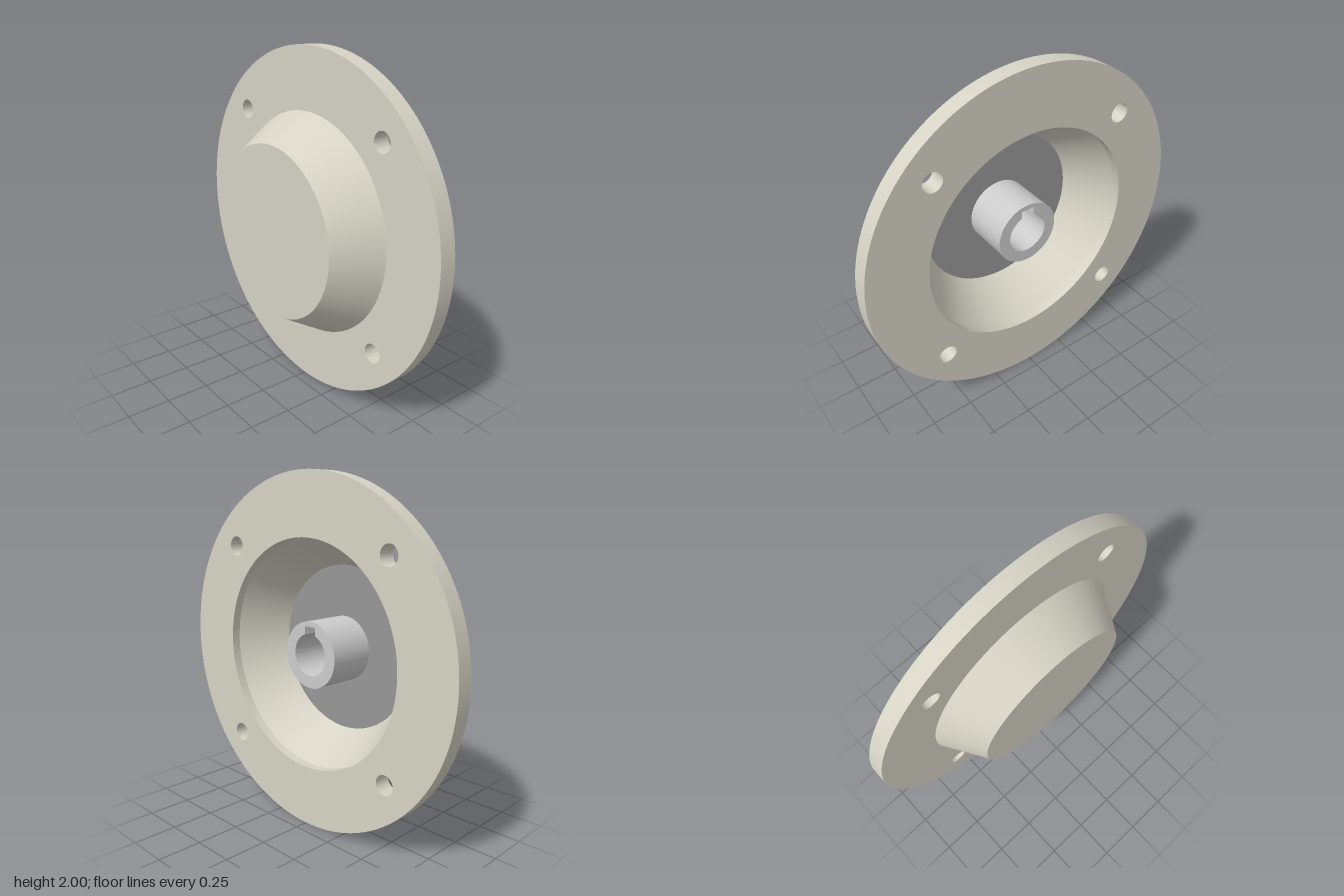
import * as THREE from 'three';
import { toCreasedNormals } from 'three/addons/utils/BufferGeometryUtils.js';

const SEGMENTS = 96;
const BACK = -0.175;       // rear face of the flange
const FLANGE_FRONT = -0.075;
const FLOOR = 0.15;        // inside face of the domed end
const FRONT = 0.175;

function part(name, geometry, color) {
  const material = new THREE.MeshStandardMaterial({ color });
  const mesh = new THREE.Mesh(toCreasedNormals(geometry, 0.5), material);
  mesh.name = name;
  return mesh;
}

function circlePath(x, y, r) {
  return new THREE.Path().absarc(x, y, r, 0, Math.PI * 2, true);
}

function extrude(shape, from, to) {
  const geometry = new THREE.ExtrudeGeometry(shape, {
    depth: to - from, bevelEnabled: false, curveSegments: SEGMENTS,
  });
  return geometry.translate(0, 0, from);
}

export function createModel() {
  const group = new THREE.Group();
  const body = 0xd6d3c5, steel = 0xc0c0c0, dark = 0x979797;

  // Flat ring with four bolt holes
  const ring = new THREE.Shape().absarc(0, 0, 1, 0, Math.PI * 2, false);
  ring.holes.push(circlePath(0, 0, 0.65));
  for (const x of [-0.583, 0.583]) {
    for (const y of [-0.583, 0.583]) ring.holes.push(circlePath(x, y, 0.056));
  }
  group.add(part('flange', extrude(ring, BACK, FLANGE_FRONT), body));

  // Hollow tapered cover: inside wall, then outside wall and front face
  const profile = [
    [0, FLOOR], [0.486, FLOOR], [0.65, -0.123],
    [0.65, FLANGE_FRONT], [0.5, FRONT], [0, FRONT],
  ].map(([r, z]) => new THREE.Vector2(r, z));
  const cover = new THREE.LatheGeometry(profile, SEGMENTS).rotateX(Math.PI / 2);
  group.add(part('taperedCover', cover, body));

  // Thin dark plate lining the inside of the front wall
  const plate = new THREE.CylinderGeometry(0.486, 0.486, 0.005, SEGMENTS)
    .rotateX(Math.PI / 2).translate(0, 0, FLOOR);
  group.add(part('innerPlate', plate, dark));

  // Hub with a keyed bore, open to the rear
  const bore = 0.12, keyHalf = 0.04, keyTop = 0.16;
  const a = Math.acos(keyHalf / bore);
  const hub = new THREE.Shape().absarc(0, 0, 0.19, 0, Math.PI * 2, false);
  const keyedBore = new THREE.Path();
  keyedBore.absarc(0, 0, bore, a, Math.PI - a, true);
  keyedBore.lineTo(-keyHalf, keyTop);
  keyedBore.lineTo(keyHalf, keyTop);
  keyedBore.closePath();
  hub.holes.push(keyedBore);
  group.add(part('hub', extrude(hub, -0.135, FLOOR), steel));

  for (const mesh of group.children) mesh.position.y = 1;
  return group;
}
